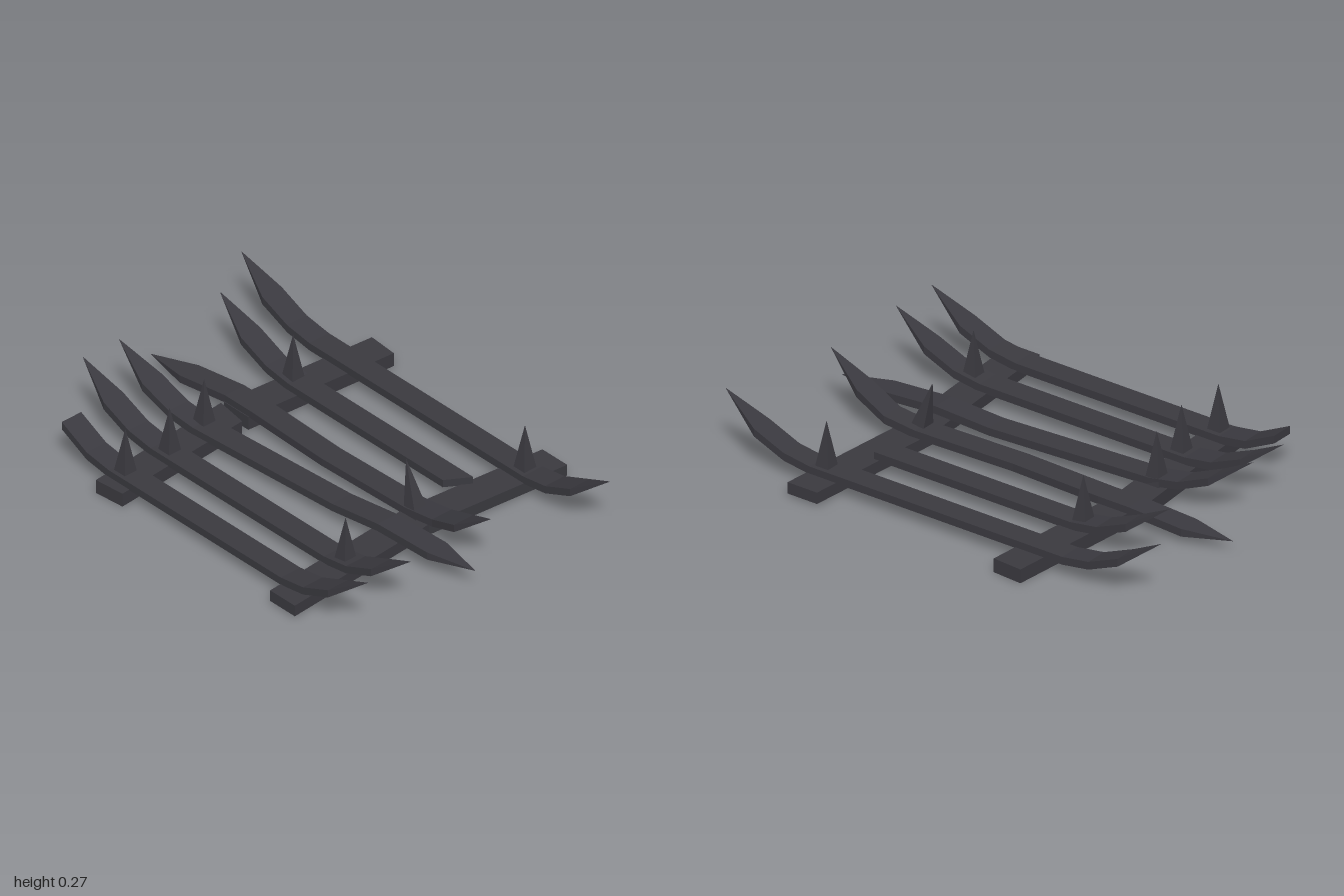
import * as THREE from 'three';

const iron = new THREE.MeshStandardMaterial({ color: 0x3a393f, side: THREE.DoubleSide });
iron.name = 'darkIron';

// Inverted channel (top and two sides, open below) through cross-sections.
// Each section: { l, r } top corners as [x, y, z] and t = depth of the side walls.
function channel(name, sections, capStart, capEnd) {
  const pos = [];
  const quad = (a, b, c, d) => pos.push(...a, ...b, ...c, ...a, ...c, ...d);
  const low = (p, t) => [p[0], p[1] - t, p[2]];
  const full = sections.map(s => ({ ...s, lb: low(s.l, s.t), rb: low(s.r, s.t) }));
  for (let i = 0; i < full.length - 1; i++) {
    const a = full[i], b = full[i + 1];
    quad(a.l, b.l, b.r, a.r);
    quad(a.l, a.lb, b.lb, b.l);
    quad(a.r, b.r, b.rb, a.rb);
  }
  const s = full[0], e = full[full.length - 1];
  if (capStart) quad(s.l, s.r, s.rb, s.lb);
  if (capEnd) quad(e.l, e.lb, e.rb, e.r);
  const geo = new THREE.BufferGeometry();
  geo.setAttribute('position', new THREE.Float32BufferAttribute(pos, 3));
  geo.computeVertexNormals();
  const mesh = new THREE.Mesh(geo, iron);
  mesh.name = name;
  return mesh;
}

const TOP = 0.086, HALF = 0.048, DEPTH = 0.032;

// Slat section: centre x, top y, z, half width, depth, skew of the end
const sec = (x, y, z, w = HALF, t = DEPTH, skew = 0) =>
  ({ l: [x - w, y, z - skew], r: [x + w, y, z + skew], t });

// Pointed end curling upwards, listed from the tip inwards; dir is +1 front, -1 back
const curl = (xAt, tip, dir) => [
  [0, 0.255, 0.001, 0], [0.165, 0.16, HALF, DEPTH],
  [0.3, 0.104, HALF, DEPTH], [0.42, TOP, HALF, DEPTH],
].map(([d, y, w, t]) => {
  const z = dir * (tip - d);
  return sec(xAt(z), y, z, w, t);
});

// Spike driven through the rails; lean moves the tip along z
function spike(x, z, lean = 0) {
  const h = 0.225;
  const geo = new THREE.ConeGeometry(0.036 * Math.SQRT2, h, 4, 1, true).toNonIndexed();
  geo.rotateY(Math.PI / 4);
  const p = geo.attributes.position;
  for (let i = 0; i < p.count; i++) p.setZ(i, p.getZ(i) + lean * (p.getY(i) / h + 0.5));
  geo.computeVertexNormals();
  const mesh = new THREE.Mesh(geo, iron);
  mesh.position.set(x, 0.045 + h / 2, z);
  mesh.name = 'spike';
  return mesh;
}

export function createModel() {
  const group = new THREE.Group();
  group.name = 'spikedGrate';
  const at = x => () => x;
  const front = (xAt, tip) => curl(xAt, tip, 1).reverse();
  const back = (xAt, tip) => curl(xAt, tip, -1);

  // Straight slats
  group.add(channel('bluntSlat', [
    sec(-0.583, 0.17, -0.725), sec(-0.583, 0.104, -0.59), sec(-0.583, TOP, -0.47),
    ...front(at(-0.583), 0.885)], true, false));
  for (const [x, tip] of [[-0.375, 0.89], [0.51, 1]]) {
    group.add(channel('straightSlat', [...back(at(x), tip), ...front(at(x), tip)]));
  }
  group.add(channel('brokenSlat', [
    ...back(at(0.277), 0.86), sec(0.277, TOP, 0.43, HALF, DEPTH, 0.03)], false, true));

  // Slanting slat with its front end almost flat
  const slant = z => -0.141 + z * 0.067;
  group.add(channel('slantedSlat', [
    ...back(slant, 0.885), sec(slant(0.24), TOP, 0.24), sec(slant(0.47), 0.107, 0.47),
    sec(slant(0.72), 0.1, 0.72), sec(-0.08, 0.09, 0.915, 0.001, 0)]));

  // Warped slat, back end drooping and front end raised
  group.add(channel('warpedSlat', [
    sec(0.025, 0.047, -0.96, 0.001, 0), sec(0.041, 0.064, -0.77), sec(0.056, TOP, -0.54),
    sec(0.056, TOP, -0.4), sec(0.043, TOP, 0), sec(0.056, TOP, 0.44),
    sec(0.06, 0.104, 0.58), sec(0.041, 0.16, 0.72), sec(0.025, 0.255, 0.885, 0.001, 0)]));

  // Cross rails: corners as [x front, z front, x back, z back]
  const rail = (name, bottom, corners) => channel(name, corners.map(([xf, zf, xb, zb]) =>
    ({ l: [xf, 0.057, zf], r: [xb, 0.057, zb], t: 0.057 - bottom })), true, true);
  group.add(
    rail('frontRail', 0.01, [
      [-0.687, 0.602, -0.687, 0.468], [0.03, 0.545, 0.03, 0.41], [0.66, 0.603, 0.66, 0.468]]),
    rail('backRailRight', 0, [[-0.668, -0.355, -0.68, -0.486], [-0.03, -0.405, -0.007, -0.545]]),
    rail('backRailLeft', 0, [[0.005, -0.41, 0.005, -0.543], [0.675, -0.355, 0.685, -0.485]]));

  // Spikes
  for (const [x, z, lean] of [
    [-0.585, -0.43], [-0.375, -0.42], [-0.157, -0.472], [0.277, -0.465],
    [-0.375, 0.535], [0.51, 0.538], [0.043, 0.465, -0.06]]) {
    group.add(spike(x, z, lean));
  }
  return group;
}
